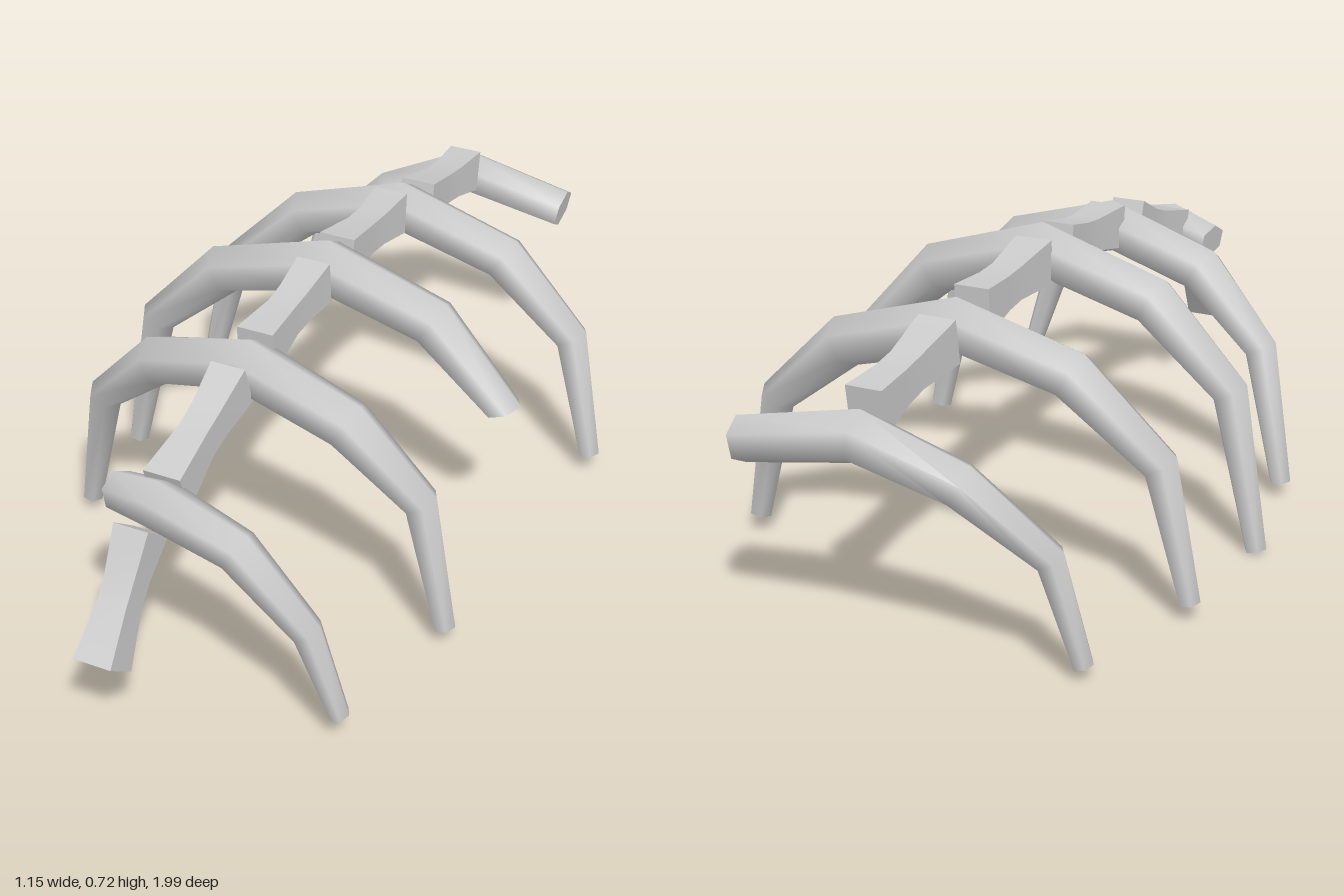
import * as THREE from 'three';
import { toCreasedNormals } from 'three/addons/utils/BufferGeometryUtils.js';

const material = new THREE.MeshStandardMaterial({ color: 0xcccccc });

// Loft a capped, regular-sided limb through rings [x, y, z, radiusUp, radiusSide].
// sideAxis fixes the roll; endDir optionally sets the plane of the last cap.
function limb(name, rings, { sides, phase, sideAxis, endDir }) {
  const centres = rings.map(([x, y, z]) => new THREE.Vector3(x, y, z));
  const dirs = centres.slice(1).map((c, i) => c.clone().sub(centres[i]).normalize());
  const last = rings.length - 1;
  const pos = [];
  const index = [];
  rings.forEach(([, , , up, side], i) => {
    const t = new THREE.Vector3();
    if (i > 0) t.add(dirs[i - 1]);
    if (i < last) t.add(dirs[i]);
    if (i === last && endDir) t.copy(endDir);
    t.normalize();
    const v = sideAxis.clone().addScaledVector(t, -sideAxis.dot(t)).normalize();
    const u = v.clone().cross(t);
    for (let j = 0; j < sides; j++) {
      const a = phase + (j / sides) * Math.PI * 2;
      const p = centres[i].clone()
        .addScaledVector(u, Math.cos(a) * up)
        .addScaledVector(v, Math.sin(a) * side);
      pos.push(p.x, p.y, p.z);
    }
  });
  for (let i = 0; i < last; i++) {
    for (let j = 0; j < sides; j++) {
      const a = i * sides + j;
      const b = i * sides + ((j + 1) % sides);
      index.push(a, b, b + sides, a, b + sides, a + sides);
    }
  }
  // end caps
  const e = last * sides;
  for (let j = 1; j < sides - 1; j++) {
    index.push(0, j + 1, j, e, e + j, e + j + 1);
  }
  const geo = new THREE.BufferGeometry();
  geo.setAttribute('position', new THREE.Float32BufferAttribute(pos, 3));
  geo.setIndex(index);
  const mesh = new THREE.Mesh(toCreasedNormals(geo, 1.3), material);
  mesh.name = name;
  return mesh;
}

// Hexagonal rib, ridge on top, running from -x to +x; points are [x, y, z, radius]
function rib(name, points, endDir) {
  return limb(name, points.map(([x, y, z, r]) => [x, y, z, r, r * 1.06]), {
    sides: 6, phase: 0, sideAxis: new THREE.Vector3(0, 0, 1), endDir,
  });
}

// Square vertebra with a narrow waist, running front to back
function vertebra(name, a, b, halfHeight) {
  const k = Math.SQRT2;
  const at = (f, h, w) => [...a.map((n, i) => n + (b[i] - n) * f), h * k, w * k];
  const rings = [
    at(0, halfHeight, 0.045),
    at(0.45, halfHeight * 0.74, 0.035),
    at(0.65, halfHeight * 0.76, 0.036),
    at(1, halfHeight, 0.042),
  ];
  return limb(name, rings, {
    sides: 4, phase: Math.PI / 4, sideAxis: new THREE.Vector3(1, 0, 0),
  });
}

export function createModel() {
  const model = new THREE.Group();
  model.name = 'ribcage';

  // Ribs, front to back; some are broken off short on one side
  const ribs = new THREE.Group();
  ribs.name = 'ribs';
  ribs.add(
    rib('firstRib', [
      [-0.12, 0.47, 0.7, 0.045],
      [0, 0.492, 0.733, 0.056],
      [0.205, 0.458, 0.765, 0.049],
      [0.362, 0.295, 0.757, 0.036],
      [0.425, 0.07, 0.73, 0.024],
    ]),
    rib('secondRib', [
      [-0.495, 0.04, 0.23, 0.026],
      [-0.425, 0.37, 0.25, 0.043],
      [-0.252, 0.533, 0.29, 0.06],
      [0, 0.605, 0.32, 0.065],
      [0.255, 0.533, 0.34, 0.06],
      [0.43, 0.375, 0.333, 0.043],
      [0.495, 0.045, 0.325, 0.027],
    ]),
    rib('thirdRib', [
      [-0.55, 0.01, -0.09, 0.026],
      [-0.475, 0.39, -0.09, 0.046],
      [-0.28, 0.577, -0.085, 0.062],
      [0, 0.658, -0.077, 0.068],
      [0.275, 0.577, -0.077, 0.062],
      [0.462, 0.395, -0.07, 0.045],
    ], new THREE.Vector3(0.35, -0.94, 0)),
    rib('fourthRib', [
      [-0.535, 0.045, -0.465, 0.026],
      [-0.465, 0.36, -0.475, 0.044],
      [-0.265, 0.54, -0.495, 0.06],
      [0, 0.615, -0.508, 0.065],
      [0.28, 0.535, -0.508, 0.06],
      [0.475, 0.365, -0.49, 0.044],
      [0.55, 0.05, -0.475, 0.027],
    ]),
    rib('fifthRib', [
      [-0.435, 0.038, -0.8, 0.024],
      [-0.378, 0.285, -0.838, 0.036],
      [-0.205, 0.438, -0.895, 0.051],
      [0, 0.522, -0.938, 0.06],
      [0.275, 0.468, -0.942, 0.052],
    ]),
  );
  model.add(ribs);

  // Spine segments bridging the ribs, front to back
  const spine = new THREE.Group();
  spine.name = 'spine';
  [
    [[-0.02, 0.21, 0.955], [-0.02, 0.445, 0.775], 0.05],
    [[-0.005, 0.495, 0.69], [-0.005, 0.6, 0.39], 0.053],
    [[-0.003, 0.62, 0.28], [-0.003, 0.653, -0.015], 0.053],
    [[-0.005, 0.653, -0.135], [-0.005, 0.632, -0.445], 0.053],
    [[0.01, 0.603, -0.57], [0.01, 0.555, -0.885], 0.053],
  ].forEach(([a, b, h], i) => spine.add(vertebra(`vertebra${i + 1}`, a, b, h)));
  model.add(spine);

  return model;
}
